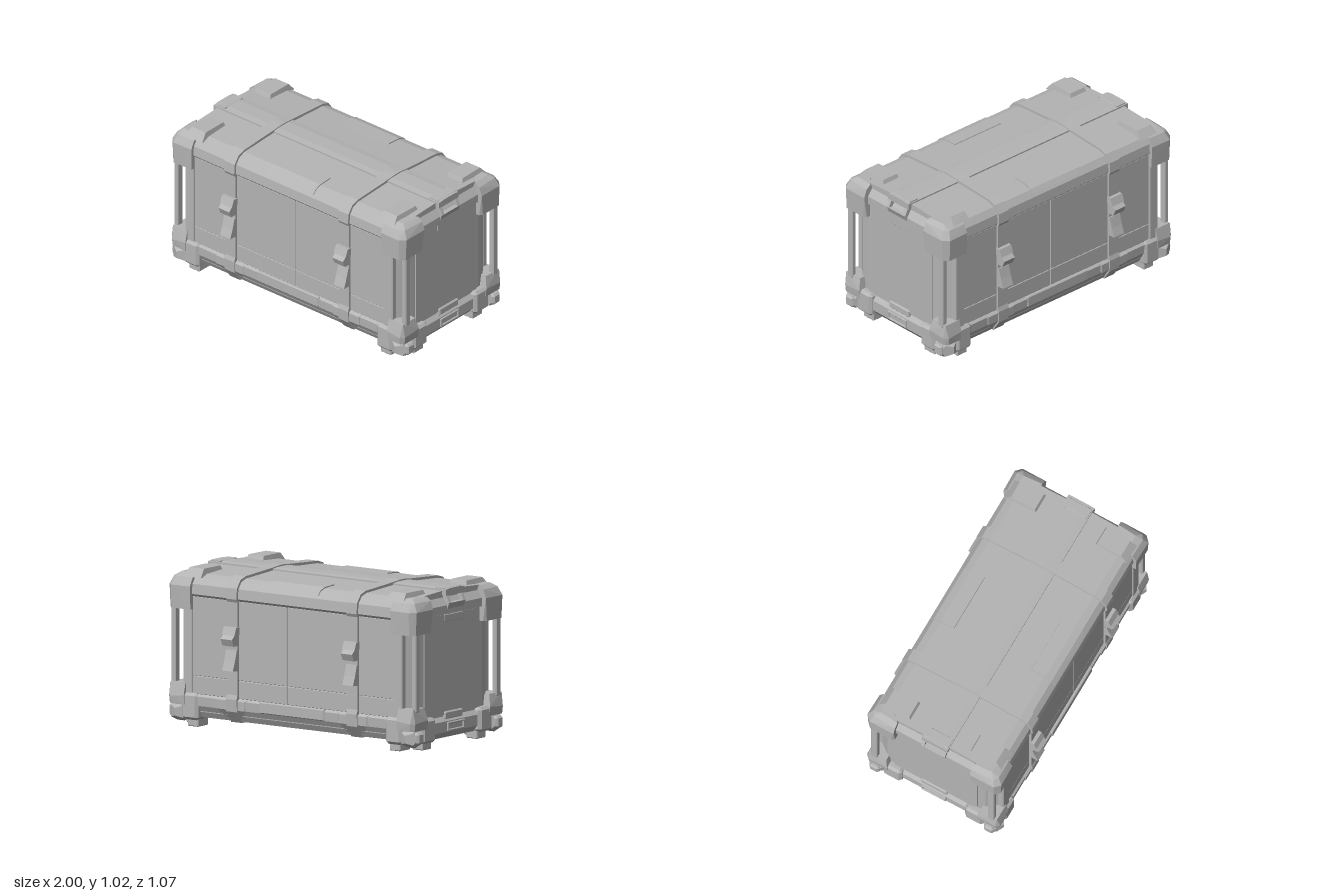
import * as THREE from 'three';
import { ConvexGeometry } from 'three/addons/geometries/ConvexGeometry.js';

export function createModel() {
  const crate = new THREE.Group();
  crate.name = 'crate';
  const grey = new THREE.MeshStandardMaterial({ color: 0xb4b4b4 });
  grey.name = 'plain grey';

  const add = (name, geometry) => {
    const mesh = new THREE.Mesh(geometry, grey);
    mesh.name = name;
    crate.add(mesh);
    return mesh;
  };
  // convex block through points, mirrored by sx and sz
  const hull = (name, pts, sx = 1, sz = 1) =>
    add(name, new ConvexGeometry(pts.map(([x, y, z]) => new THREE.Vector3(x * sx, y, z * sz))));
  // box by its limits, with all edges chamfered by c
  const block = (name, [x0, x1], [y0, y1], [z0, z1], c = 0.01, sx = 1, sz = 1) => {
    const pts = [];
    for (const [x, i] of [[x0, 1], [x1, -1]])
      for (const [y, j] of [[y0, 1], [y1, -1]])
        for (const [z, k] of [[z0, 1], [z1, -1]])
          pts.push([x, y + j * c, z + k * c], [x + i * c, y, z + k * c], [x + i * c, y + j * c, z]);
    return hull(name, pts, sx, sz);
  };
  // half profile in (z, y), mirrored in z and extruded along x
  const section = (name, half, width, xc = 0) => {
    const all = [...half, ...half.slice().reverse().map(([z, y]) => [-z, y])];
    const shape = new THREE.Shape(all.map(([z, y]) => new THREE.Vector2(z, y)));
    const g = new THREE.ExtrudeGeometry(shape, { depth: width, bevelEnabled: false });
    g.translate(0, 0, -width / 2).rotateY(-Math.PI / 2).translate(xc, 0, 0);
    return add(name, g);
  };

  // main box with cut vertical corners
  const plan = [[0.86, 0.445], [0.875, 0.4], [0.925, 0.36], [0.93, 0.31]];
  const core = [];
  for (const [x, z] of plan)
    for (const sx of [-1, 1]) for (const sz of [-1, 1])
      for (const y of [0.1, 0.87]) core.push([x * sx, y, z * sz]);
  hull('body', core);

  // base with sloped rims and shallow runners underneath
  section('base', [[0.27, 0.072], [0.28, 0.062], [0.42, 0.062], [0.465, 0.14], [0.468, 0.2], [0.44, 0.225]], 1.72);
  block('bottomPanel', [-0.7, 0.7], [0.063, 0.1], [-0.24, 0.24], 0.006);
  // lid
  section('lid', [[0.45, 0.84], [0.468, 0.86], [0.462, 0.925], [0.43, 0.968], [0.38, 0.985], [0.1, 1.0]], 1.84);
  section('lidRidge', [[0.095, 0.97], [0.095, 1.01], [0.05, 1.016]], 1.9);

  // straps with their buckles
  for (const x of [-0.485, 0.475]) {
    section('strap', [[0.33, 0.11], [0.33, 0.055], [0.425, 0.055], [0.478, 0.13], [0.482, 0.21], [0.472, 0.24],
      [0.472, 0.84], [0.483, 0.86], [0.478, 0.93], [0.44, 0.982], [0.385, 1.0], [0.1, 1.018], [0.02, 1.025]], 0.085, x);
    for (const sz of [-1, 1]) {
      const piece = (name, w, prof) =>
        hull(name, prof.flatMap(([z, y]) => [[x - w, y, z], [x + w, y, z]]), 1, sz);
      piece('buckleTop', 0.05, [[0.46, 0.68], [0.495, 0.68], [0.515, 0.63], [0.46, 0.63]]);
      piece('buckleLip', 0.045, [[0.46, 0.63], [0.508, 0.63], [0.535, 0.605], [0.515, 0.56], [0.46, 0.56]]);
      piece('strapEnd', 0.043, [[0.46, 0.53], [0.48, 0.53], [0.5, 0.46], [0.46, 0.4]]);
      piece('strapTab', 0.043, [[0.46, 0.46], [0.5, 0.46], [0.522, 0.4], [0.46, 0.395]]);
    }
  }

  for (const sz of [-1, 1]) {
    // long side panels divided by thin seams
    for (const [x0, x1] of [[-0.8, 0.048], [0.052, 0.8]]) {
      block('sidePanel', [x0, x1], [0.334, 0.845], [0.43, 0.456], 0.002, 1, sz);
      block('lowerSidePanel', [x0, x1], [0.215, 0.331], [0.43, 0.456], 0.002, 1, sz);
    }
    // raised pads on lid and base
    hull('lidPad', [-0.2, 0.2].flatMap((x) => [[x, 0.98, 0.28], [x, 0.997, 0.285],
      [x, 0.992, 0.385], [x, 0.974, 0.432], [x, 0.945, 0.456], [x, 0.94, 0.4]]), 1, sz);
    block('basePad', [-0.26, 0.26], [0.14, 0.215], [0.4, 0.474], 0.006, 1, sz);
    for (const sx of [-1, 1])
      hull('baseBracket', [[0.34, 0.225, 0.44], [0.62, 0.225, 0.44], [0.38, 0.2, 0.474], [0.6, 0.2, 0.474],
        [0.38, 0.14, 0.472], [0.6, 0.14, 0.472], [0.42, 0.08, 0.43], [0.54, 0.08, 0.43]], sx, sz);
  }

  for (const sx of [-1, 1]) {
    // end panel with cut corners
    const end = [];
    for (const [z, y] of [[0.31, 0.23], [0.285, 0.2], [0.31, 0.82], [0.285, 0.85]])
      for (const s of [-1, 1]) end.push([0.92, y, z * s], [0.938, y, z * s * 0.985]);
    hull('endPanel', end, sx);
    block('endPanelTab', [0.92, 0.942], [0.8, 0.848], [-0.1, 0.1], 0.003, sx);
    // lid end cap
    hull('lidEnd', [-1, 1].flatMap((s) => [[0.9, 0.85, 0.3 * s], [0.955, 0.855, 0.3 * s], [0.955, 0.91, 0.3 * s],
      [0.9, 0.985, 0.3 * s]]), sx);
    // bottom end rail with its slot frame
    hull('endRail', [-1, 1].flatMap((s) => [[0.84, 0.05, 0.26 * s], [0.92, 0.05, 0.26 * s],
      [0.955, 0.09, 0.26 * s], [0.955, 0.16, 0.26 * s], [0.92, 0.2, 0.26 * s], [0.84, 0.2, 0.26 * s]]), sx);
    for (const y of [0.1, 0.147]) block('slotBar', [0.93, 0.965], [y - 0.007, y + 0.007], [-0.09, 0.09], 0.004, sx);
    for (const sz of [-1, 1]) block('slotSide', [0.93, 0.965], [0.093, 0.154], [0.075, 0.09], 0.004, sx, sz);
    block('railTab', [0.9, 0.95], [0.17, 0.222], [-0.1, 0.09], 0.008, sx);
    // latch loop at the lid end
    for (const sz of [-1, 1])
      hull('latchSide', [0.065, 0.088].flatMap((z) => [[0.86, 1.018, z], [0.93, 1.018, z],
        [0.97, 0.925, z], [0.955, 0.885, z], [0.86, 0.9, z]]), sx, sz);
    block('latchTop', [0.86, 0.935], [0.99, 1.018], [-0.085, 0.085], 0.005, sx);
    hull('latchLip', [-0.078, 0.078].flatMap((z) => [[0.9, 0.93, z], [0.972, 0.925, z], [0.952, 0.88, z],
      [0.9, 0.88, z]]), sx);
  }

  // four corners
  for (const sx of [-1, 1]) for (const sz of [-1, 1]) {
    // upper guard with its outer edges cut
    hull('upperCorner', [
      [0.8, 0.76, 0.28], [0.965, 0.76, 0.28], [0.98, 0.76, 0.3], [0.98, 0.76, 0.455], [0.95, 0.76, 0.486],
      [0.8, 0.76, 0.484], [0.988, 0.91, 0.28], [0.988, 0.91, 0.455], [0.95, 0.91, 0.492], [0.8, 0.91, 0.488],
      [0.968, 0.965, 0.28], [0.96, 0.965, 0.44], [0.93, 0.965, 0.462], [0.8, 0.965, 0.46],
      [0.935, 0.99, 0.28], [0.925, 0.99, 0.41], [0.8, 0.988, 0.42]], sx, sz);
    hull('upperCornerPad', [
      [0.74, 0.97, 0.21], [0.885, 0.97, 0.21], [0.75, 1.02, 0.23], [0.87, 1.02, 0.23],
      [0.75, 1.02, 0.405], [0.865, 1.02, 0.405], [0.74, 0.965, 0.452], [0.88, 0.965, 0.455]], sx, sz);
    // free-standing corner post and the post beside the long panel
    block('cornerPost', [0.942, 0.978], [0.26, 0.78], [0.405, 0.452], 0.006, sx, sz);
    block('innerPost', [0.8, 0.875], [0.2, 0.86], [0.42, 0.465], 0.006, sx, sz);
    // lower guard, its two arms and feet
    hull('lowerCorner', [
      [0.85, 0.28, 0.345], [0.965, 0.28, 0.345], [0.97, 0.28, 0.47], [0.85, 0.28, 0.47],
      [0.85, 0.2, 0.33], [0.984, 0.2, 0.33], [0.984, 0.19, 0.465], [0.96, 0.19, 0.49], [0.85, 0.2, 0.488],
      [0.85, 0.14, 0.33], [0.978, 0.14, 0.33], [0.978, 0.14, 0.465], [0.955, 0.14, 0.484], [0.85, 0.14, 0.484]], sx, sz);
    block('lowerSideArm', [0.75, 0.88], [0.045, 0.22], [0.34, 0.482], 0.018, sx, sz);
    block('lowerEndArm', [0.83, 0.978], [0.045, 0.205], [0.232, 0.37], 0.018, sx, sz);
    block('sideFoot', [0.765, 0.85], [0, 0.08], [0.34, 0.45], 0.005, sx, sz);
    block('endFoot', [0.86, 0.945], [0, 0.08], [0.24, 0.335], 0.005, sx, sz);
    // faceted bumper knob
    const knob = add('cornerKnob', new THREE.DodecahedronGeometry(0.08));
    knob.scale.set(1, 0.85, 1);
    knob.position.set(sx * 0.92, 0.09, sz * 0.42);
    block('knobPlate', [0.87, 0.999], [0.055, 0.13], [0.385, 0.455], 0.012, sx, sz);
  }
  return crate;
}
